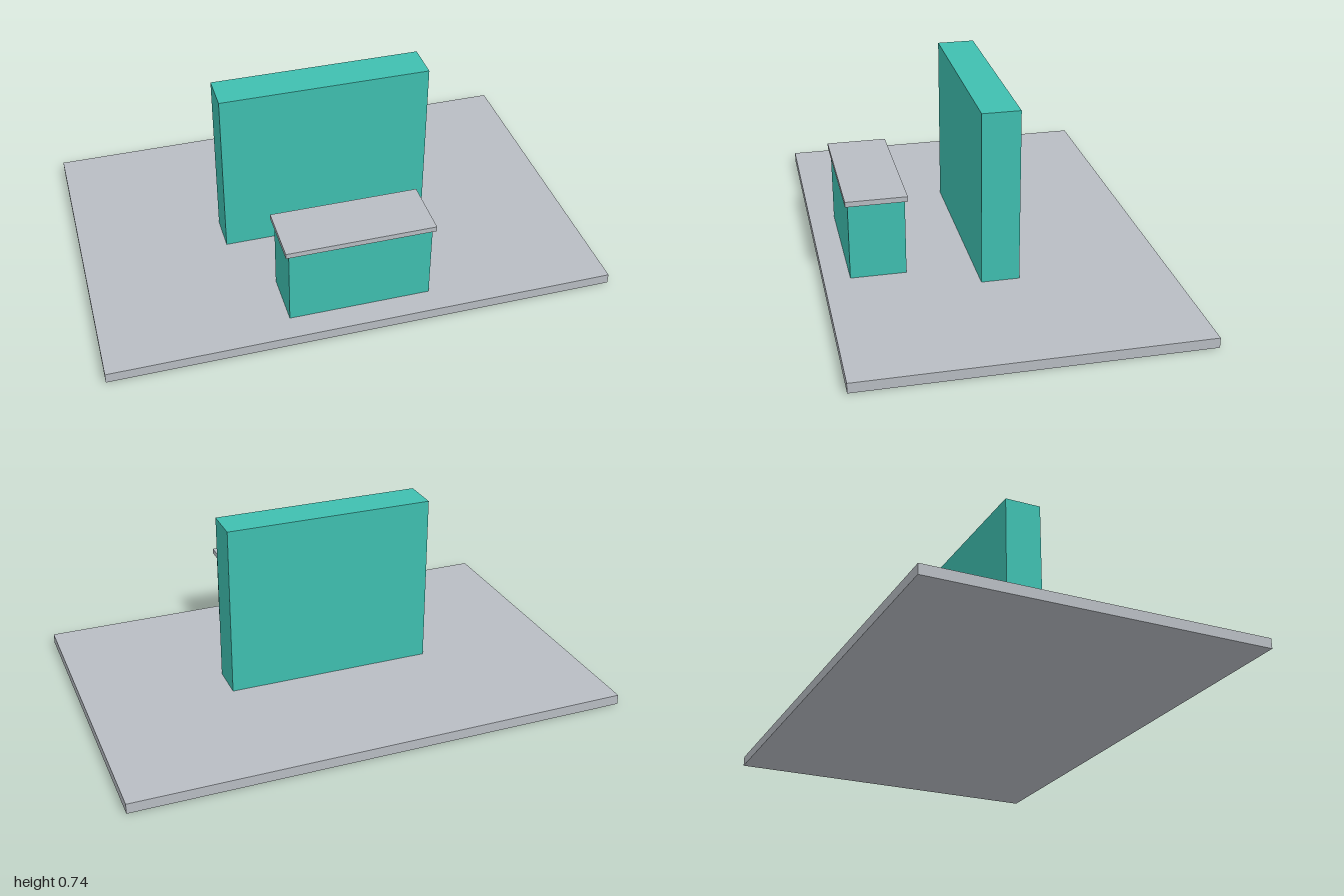
import * as THREE from 'three';

export function createModel() {
  const group = new THREE.Group();
  const grey = new THREE.MeshStandardMaterial({ color: 0xb8bdc3 });
  grey.name = 'light grey';
  const teal = new THREE.MeshStandardMaterial({ color: 0x3fbfb0 });
  teal.name = 'teal';

  // Box given by width, depth, bottom and top heights, and its z centre
  const addBox = (name, material, width, depth, bottom, top, z = 0) => {
    const mesh = new THREE.Mesh(new THREE.BoxGeometry(width, top - bottom, depth), material);
    mesh.name = name;
    mesh.position.set(0, (bottom + top) / 2, z);
    group.add(mesh);
  };

  // Floor platform
  addBox('floor', grey, 2, 1.333, 0, 0.04);

  // Back wall and counter, sunk into the floor
  addBox('backWall', teal, 0.84, 0.15, 0.002, 0.735);
  addBox('counterBody', teal, 0.56, 0.22, 0.002, 0.35, 0.453);

  // Overhanging counter top
  addBox('counterTop', grey, 0.586, 0.24, 0.35, 0.371, 0.453);

  return group;
}
